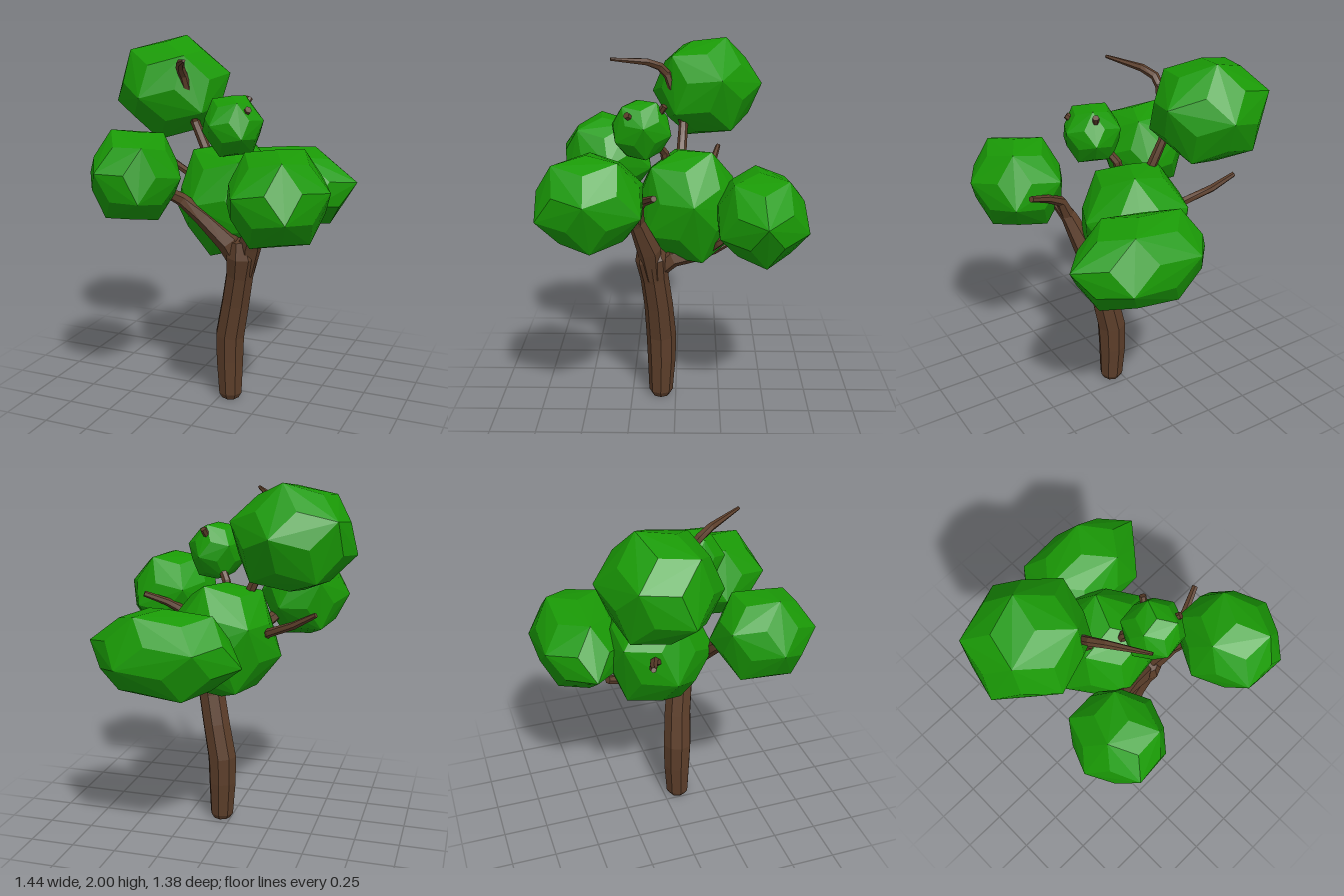
import * as THREE from 'three';
import { ConvexGeometry } from 'three/addons/geometries/ConvexGeometry.js';

const bark = new THREE.MeshStandardMaterial({ color: 0x5c3e2a, flatShading: true });
bark.name = 'bark brown';
const leaf = new THREE.MeshStandardMaterial({ color: 0x1a9a06, flatShading: true });
leaf.name = 'leaf green';

// Tapered faceted limb; each station is [x, y, z, radius]
function limb(name, stations, sides = 6) {
  const pts = stations.map(([x, y, z]) => new THREE.Vector3(x, y, z));
  const up = new THREE.Vector3(0, 1, 0);
  const last = pts.length - 1;
  const pos = [];
  const index = [];
  pts.forEach((p, i) => {
    const dir = pts[Math.min(i + 1, last)].clone().sub(pts[Math.max(i - 1, 0)]).normalize();
    const q = new THREE.Quaternion().setFromUnitVectors(up, dir);
    for (let s = 0; s < sides; s++) {
      const a = (s / sides) * Math.PI * 2;
      const v = new THREE.Vector3(Math.sin(a), 0, Math.cos(a));
      v.multiplyScalar(stations[i][3]).applyQuaternion(q).add(p);
      pos.push(v.x, v.y, v.z);
    }
  });
  for (let i = 0; i < last; i++) {
    for (let s = 0; s < sides; s++) {
      const a = i * sides + s;
      const b = i * sides + ((s + 1) % sides);
      index.push(a, b, b + sides, a, b + sides, a + sides);
    }
  }
  // End caps
  const c0 = pos.length / 3;
  pos.push(...pts[0].toArray(), ...pts[last].toArray());
  for (let s = 0; s < sides; s++) {
    const n = (s + 1) % sides;
    index.push(c0, n, s, c0 + 1, last * sides + s, last * sides + n);
  }
  const indexed = new THREE.BufferGeometry();
  indexed.setAttribute('position', new THREE.Float32BufferAttribute(pos, 3));
  indexed.setIndex(index);
  const geo = indexed.toNonIndexed();
  geo.computeVertexNormals();
  const mesh = new THREE.Mesh(geo, bark);
  mesh.name = name;
  return mesh;
}

// Faceted leaf clump: an icosahedron with raised face centres, one face up,
// turned about y, leaned about x and z, then fitted to a size
function clump(name, center, half, turn, leanX, leanZ) {
  const t = (1 + Math.sqrt(5)) / 2;
  const r = 1 / t;
  const pts = [];
  const add = (x, y, z, len) => pts.push(new THREE.Vector3(x, y, z).setLength(len));
  for (const a of [-1, 1]) {
    for (const b of [-1, 1]) {
      add(a, 0, b * t, 1);
      add(0, b * t, a, 1);
      add(b * t, a, 0, 1);
      add(0, a * r, b * t, 0.89);
      add(a * r, b * t, 0, 0.89);
      add(b * t, 0, a * r, 0.89);
      add(a, b, 1, 0.89);
      add(a, b, -1, 0.89);
    }
  }
  const faceUp = new THREE.Euler(-0.615, turn, Math.PI / 4, 'YXZ');
  const lean = new THREE.Euler(leanX, 0, leanZ);
  pts.forEach((p) => p.applyEuler(faceUp).applyEuler(lean));
  const size = new THREE.Box3().setFromPoints(pts).getSize(new THREE.Vector3());
  const scale = new THREE.Vector3(...half).multiplyScalar(2).divide(size);
  pts.forEach((p) => p.multiply(scale));
  const mesh = new THREE.Mesh(new ConvexGeometry(pts), leaf);
  mesh.position.set(...center);
  mesh.name = name;
  return mesh;
}

export function createModel() {
  const tree = new THREE.Group();
  tree.name = 'tree';

  // Trunk and main limbs
  tree.add(
    limb('trunk', [
      [0.055, 0, 0.085, 0.05], [0.055, 0.03, 0.085, 0.068], [0.05, 0.23, 0.08, 0.08],
      [0.052, 0.38, 0.082, 0.084], [0.09, 0.58, 0.095, 0.08], [0.122, 0.75, 0.115, 0.078],
      [0.14, 0.87, 0.13, 0.09], [0.135, 0.96, 0.15, 0.055],
    ], 8),
    limb('frontLeftLimb', [
      [0.16, 0.76, 0.12, 0.045], [0.19, 0.93, 0.14, 0.066], [0.25, 1.1, 0.2, 0.045],
      [0.3, 1.19, 0.25, 0.036], [0.42, 1.28, 0.4, 0.02],
    ]),
    limb('frontRightLimb', [
      [0.14, 0.78, 0.12, 0.05], [0.07, 0.94, 0.15, 0.066], [-0.06, 1.07, 0.19, 0.048],
      [-0.17, 1.17, 0.23, 0.036], [-0.33, 1.3, 0.38, 0.02],
    ]),
    limb('backLimb', [
      [0.13, 0.78, 0.12, 0.05], [0.12, 0.87, 0.02, 0.06], [0.1, 0.88, -0.1, 0.044],
      [0.06, 0.9, -0.21, 0.033], [0.01, 0.95, -0.34, 0.022],
    ]),
    limb('crownLimb', [
      [0.04, 0.95, 0.14, 0.045], [-0.06, 1.2, 0.03, 0.038], [-0.14, 1.4, -0.03, 0.028],
      [-0.21, 1.55, -0.04, 0.026], [-0.24, 1.82, 0.05, 0.024],
    ]),
  );

  // Smaller twigs
  tree.add(
    limb('backSprig', [[0.1, 0.88, -0.14, 0.03], [0.16, 0.97, -0.23, 0.028], [0.2, 1.13, -0.42, 0.015]]),
    limb('leftTwig', [[0.26, 1.12, 0.2, 0.04], [0.3, 1.21, 0.19, 0.03], [0.4, 1.27, 0.15, 0.022], [0.52, 1.32, 0.1, 0.017]]),
    limb('rightTwig', [[0.02, 1, 0.14, 0.035], [-0.28, 1.21, -0.16, 0.024], [-0.42, 1.27, -0.21, 0.021], [-0.54, 1.34, -0.245, 0.014]]),
    limb('topTwig', [[-0.24, 1.8, 0.04, 0.024], [-0.235, 1.855, 0.09, 0.024], [-0.2, 1.885, 0.16, 0.021], [-0.09, 1.915, 0.35, 0.009]]),
    limb('smallBranch', [[-0.02, 1.2, 0.03, 0.028], [0.02, 1.43, 0.06, 0.024], [0.1, 1.56, 0.15, 0.02], [0.22, 1.675, 0.25, 0.019]]),
    limb('smallTwig', [[0.1, 1.56, 0.15, 0.018], [0.15, 1.71, 0.055, 0.018]]),
  );

  // Leaf clumps
  tree.add(
    clump('topLeaves', [-0.403, 1.715, -0.17], [0.317, 0.285, 0.31], 0.2, 0.3, 0),
    clump('smallLeaves', [0.105, 1.575, 0.18], [0.165, 0.158, 0.16], 0, 0.1, 0),
    clump('centreLeaves', [-0.005, 1.13, -0.07], [0.315, 0.315, 0.295], 0, 0.2, 0),
    clump('frontRightLeaves', [-0.355, 1.32, 0.4], [0.255, 0.24, 0.255], -0.06, 0.1, -0.2),
    clump('frontLeftLeaves', [0.443, 1.275, 0.425], [0.273, 0.245, 0.265], -0.15, 0.05, 0),
    clump('backLeaves', [0.2, 1.135, -0.455], [0.41, 0.235, 0.24], -0.09, 0.05, 0),
  );
  return tree;
}
